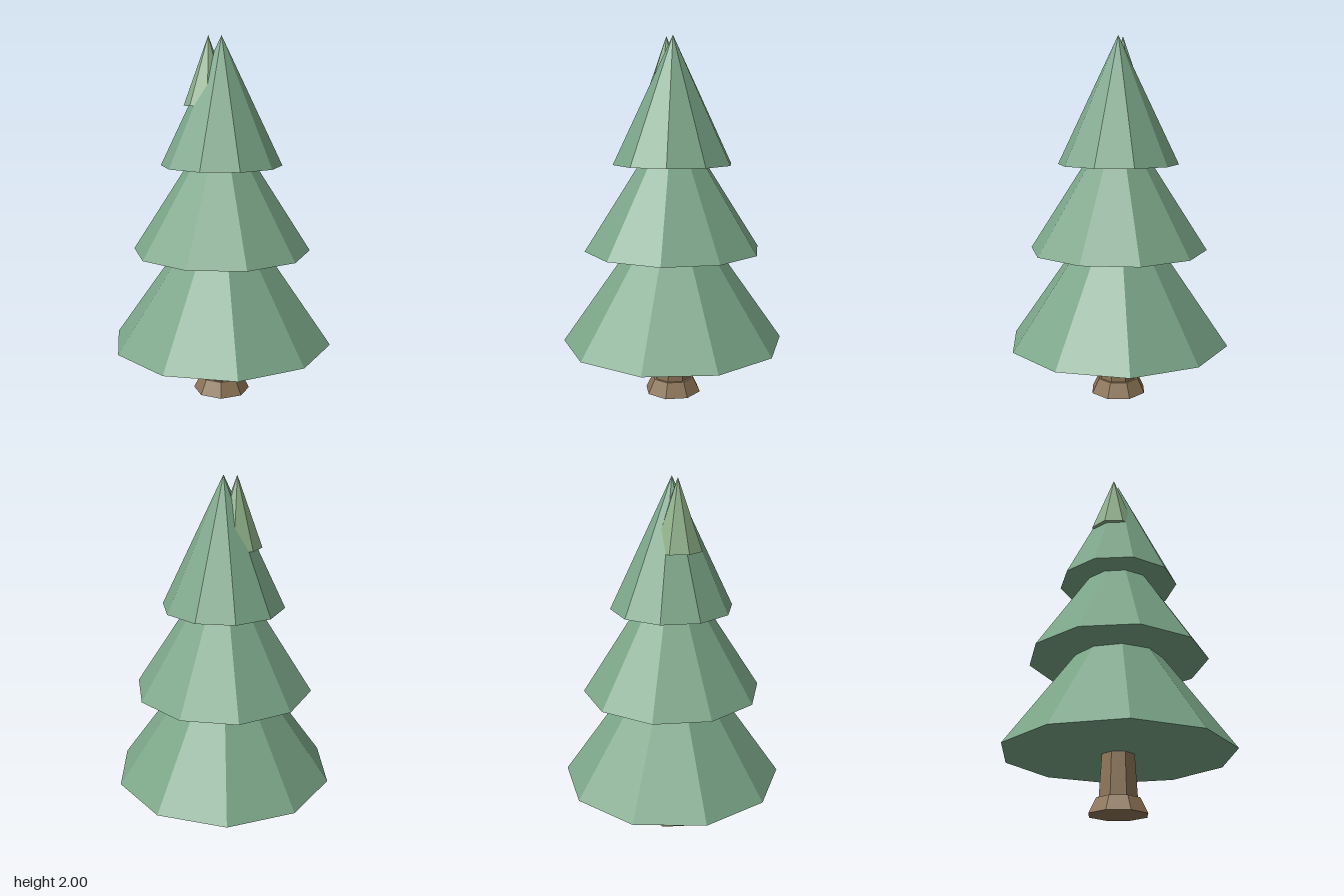
import * as THREE from 'three';

const material = (color) => new THREE.MeshStandardMaterial({ color, flatShading: true });

export function createModel() {
  const tree = new THREE.Group();
  tree.name = 'pineTree';
  const bark = material(0x8b7355);
  const needles = material(0x7aa587);
  const freshNeedles = material(0x8cae86);

  // Tapered faceted solid standing on height y
  const add = (name, mat, rTop, rBottom, y, height, sides, angle = 0, x = 0, z = 0) => {
    const mesh = new THREE.Mesh(new THREE.CylinderGeometry(rTop, rBottom, height, sides), mat);
    mesh.name = name;
    mesh.position.set(x, y + height / 2, z);
    mesh.rotation.y = angle;
    tree.add(mesh);
  };

  // Trunk with a flared foot
  add('trunkFlare', bark, 0.12, 0.16, 0, 0.08, 8);
  add('trunk', bark, 0.085, 0.107, 0.07, 0.33, 8);

  // Stacked foliage: radius, base height, cone height, turn in degrees
  const tiers = [
    ['lowerFoliage', 0.62, 0.305, 0.88, 0],
    ['middleFoliage', 0.495, 0.83, 0.77, 7.5],
    ['upperFoliage', 0.335, 1.305, 0.695, 9],
  ];
  for (const [name, r, y, h, turn] of tiers) {
    add(name, needles, 0, r, y, h, 10, THREE.MathUtils.degToRad(18 + turn));
  }

  // Small lighter shoot leaning out beside the tip
  add('sideShoot', freshNeedles, 0, 0.135, 1.63, 0.37, 8, 0, -0.05, 0.05);

  return tree;
}
